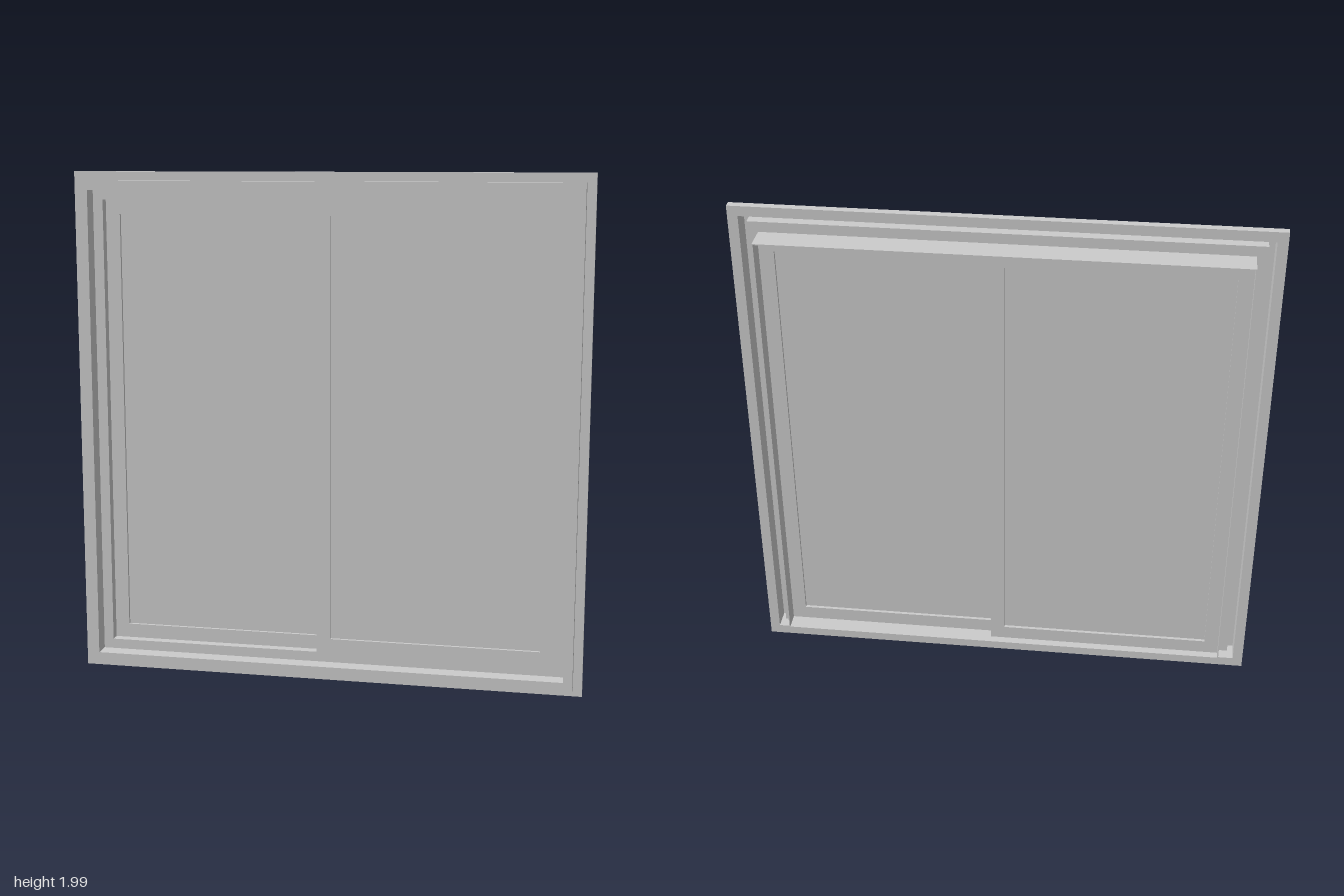
import * as THREE from 'three';

const W = 2, H = 1.99;
const mat = new THREE.MeshStandardMaterial({ color: 0xcccccc, side: THREE.DoubleSide });

// Sweep a closed profile of [inset, z] points around the window rectangle with mitred corners
function sweepFrame(profile) {
  const pos = [], idx = [], n = profile.length;
  const corners = [[-1, -1], [1, -1], [1, 1], [-1, 1]];
  for (const [sx, sy] of corners)
    for (const [d, z] of profile)
      pos.push(sx * (W / 2 - d), H / 2 + sy * (H / 2 - d), z);
  for (let c = 0; c < 4; c++)
    for (let p = 0; p < n; p++) {
      const q = (p + 1) % n, e = (c + 1) % 4;
      const a = c * n + p, b = e * n + p, f = e * n + q, g = c * n + q;
      idx.push(a, b, f, a, f, g);
    }
  const indexed = new THREE.BufferGeometry();
  indexed.setAttribute('position', new THREE.Float32BufferAttribute(pos, 3));
  indexed.setIndex(idx);
  const geo = indexed.toNonIndexed();
  geo.computeVertexNormals();
  return geo;
}

function rectangle(Type, x0, y0, x1, y1) {
  const r = new Type();
  r.moveTo(x0, y0);
  r.lineTo(x1, y0);
  r.lineTo(x1, y1);
  r.lineTo(x0, y1);
  r.closePath();
  return r;
}

// One sash: a rectangular frame holding a recessed pane
function makeSash(name, x0, x1, zBack, depth) {
  const y0 = 0.109, y1 = H - 0.109, rail = 0.056, recess = 0.012;
  const sash = new THREE.Group();
  sash.name = name;

  const outline = rectangle(THREE.Shape, x0, y0, x1, y1);
  outline.holes.push(rectangle(THREE.Path, x0 + rail, y0 + rail, x1 - rail, y1 - rail));
  const frame = new THREE.Mesh(
    new THREE.ExtrudeGeometry(outline, { depth, bevelEnabled: false }), mat);
  frame.name = name + 'Frame';
  frame.position.z = zBack;

  const pane = new THREE.Mesh(new THREE.BoxGeometry(
    x1 - x0 - 2 * rail, y1 - y0 - 2 * rail, depth - 2 * recess), mat);
  pane.name = name + 'Pane';
  pane.position.set((x0 + x1) / 2, H / 2, zBack + depth / 2);

  sash.add(frame, pane);
  return sash;
}

export function createModel() {
  const model = new THREE.Group();
  model.name = 'slidingWindow';

  // Outer frame: flange, hollow front rim, inner step and thin rear sleeve
  const frame = new THREE.Mesh(sweepFrame([
    [0, 0], [0, 0.03], [0.035, 0.03], [0.035, 0.085], [0.07, 0.085],
    [0.07, 0.02], [0.109, 0.02], [0.109, -0.085], [0.105, -0.085],
    [0.105, 0.015], [0.065, 0.015], [0.065, 0.08], [0.039, 0.08], [0.039, 0],
  ]), mat);
  frame.name = 'outerFrame';
  model.add(frame);

  // Two overlapping sashes on neighbouring tracks
  const edge = W / 2 - 0.109, overlap = 0.045;
  model.add(makeSash('frontSash', -overlap, edge, -0.017, 0.037));
  model.add(makeSash('rearSash', -edge, overlap, -0.054, 0.037));

  return model;
}
